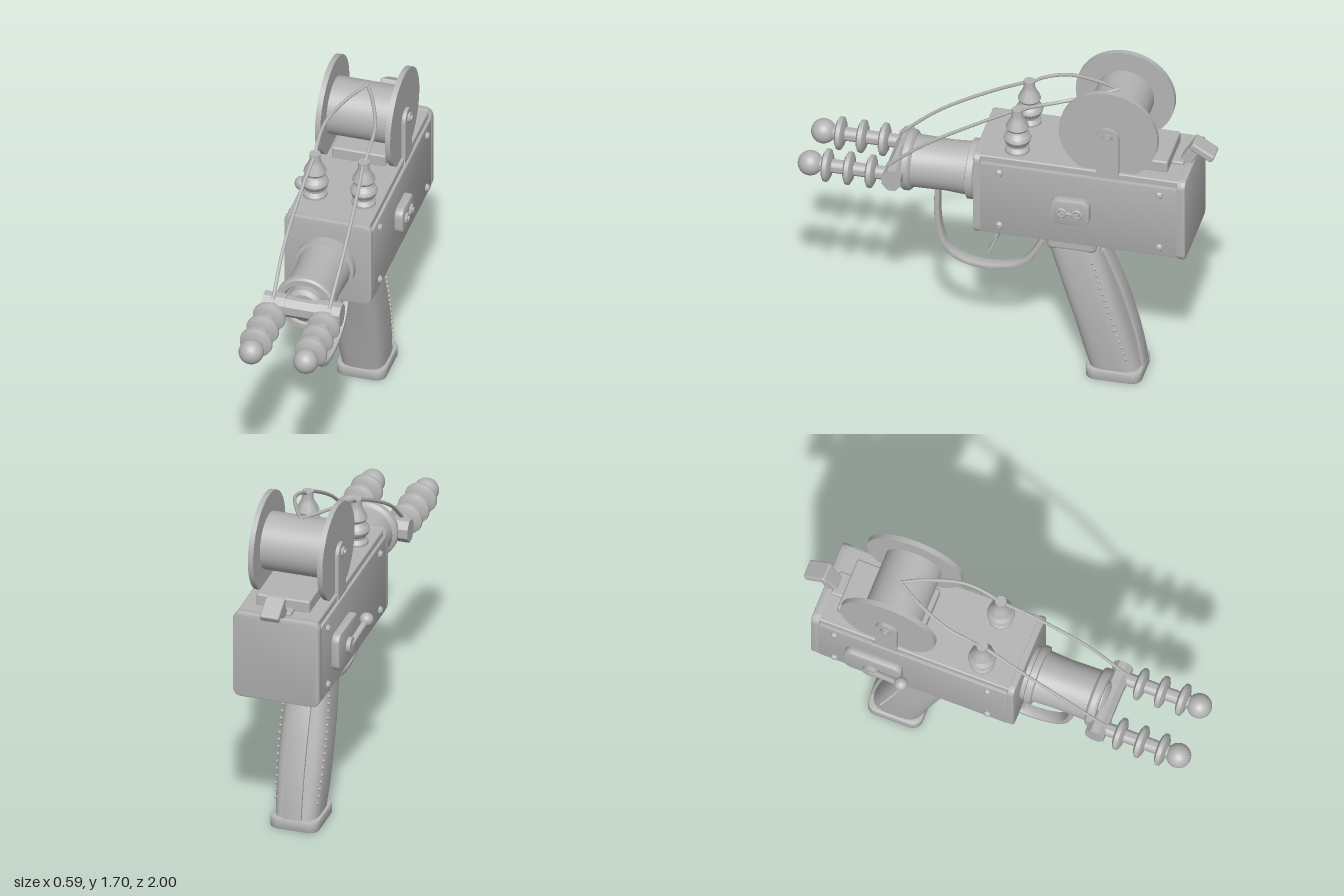
import * as THREE from 'three';
import { toCreasedNormals } from 'three/addons/utils/BufferGeometryUtils.js';
import { RoundedBoxGeometry } from 'three/addons/geometries/RoundedBoxGeometry.js';

export function createModel() {
  const model = new THREE.Group();
  const grey = new THREE.MeshStandardMaterial({ color: 0xb4b4b4 });
  grey.name = 'plain grey';
  // Everything is built around the x = 0 plane, then shifted as a whole
  const body = new THREE.Group();
  body.name = 'device';
  body.position.x = 0.025;
  model.add(body);

  function add(name, geo, x = 0, y = 0, z = 0, parent = body) {
    const mesh = new THREE.Mesh(geo, grey);
    mesh.name = name;
    mesh.position.set(x, y, z);
    parent.add(mesh);
    return mesh;
  }
  const box = (w, h, d, r = 0.008) => new RoundedBoxGeometry(w, h, d, 3, r);
  const lathe = (pts, seg = 40) =>
    toCreasedNormals(new THREE.LatheGeometry(pts.map(p => new THREE.Vector2(...p)), seg), 0.6);
  const latheZ = (pts, seg) => lathe(pts, seg).rotateX(Math.PI / 2);
  const rodX = (r, len, seg = 24) => new THREE.CylinderGeometry(r, r, len, seg).rotateZ(Math.PI / 2);
  const vec = p => new THREE.Vector3(...p);

  // Plate with a (z, y) outline, centred on x = 0
  function plateX(shape, width, bevel = 0) {
    const geo = new THREE.ExtrudeGeometry(shape, {
      depth: width - 2 * bevel, curveSegments: 10, bevelEnabled: bevel > 0,
      bevelSize: bevel, bevelThickness: bevel, bevelOffset: -bevel, bevelSegments: 2,
    });
    geo.translate(0, 0, -(width - 2 * bevel) / 2).rotateY(-Math.PI / 2);
    return toCreasedNormals(geo, 0.6);
  }
  function roundRect(w, h, r) {
    const s = new THREE.Shape(), a = w / 2 - r, b = h / 2 - r;
    s.absarc(a, b, r, 0, Math.PI / 2);
    s.absarc(-a, b, r, Math.PI / 2, Math.PI);
    s.absarc(-a, -b, r, Math.PI, Math.PI * 1.5);
    s.absarc(a, -b, r, Math.PI * 1.5, Math.PI * 2);
    return s;
  }
  // Bent flat strip following (z, y) points
  function strip(pts, thick, width) {
    const curve = new THREE.SplineCurve(pts.map(p => new THREE.Vector2(...p)));
    const a = [], b = [];
    for (let i = 0; i <= 36; i++) {
      const p = curve.getPoint(i / 36), t = curve.getTangent(i / 36);
      const n = new THREE.Vector2(-t.y, t.x).multiplyScalar(thick / 2);
      a.push(p.clone().add(n));
      b.unshift(p.clone().sub(n));
    }
    return plateX(new THREE.Shape([...a, ...b]), width, thick * 0.2);
  }

  // Housing: core, side panels and end caps
  add('housingCore', box(0.4, 0.44, 1.0), 0, 1.042, -0.38);
  for (const [name, z, d] of [['frontCap', 0.117, 0.035], ['backCap', -0.872, 0.042]]) {
    const cap = new THREE.ExtrudeGeometry(roundRect(0.43, 0.45, 0.04), {
      depth: d - 0.016, bevelSize: 0.008, bevelThickness: 0.008, bevelOffset: -0.008, bevelSegments: 2,
    }).translate(0, 0, -(d - 0.016) / 2);
    add(name, toCreasedNormals(cap, 0.6), 0, 1.04, z);
  }
  for (const s of [-1, 1]) {
    add('sidePanel', plateX(roundRect(0.96, 0.395, 0.015), 0.02, 0.004), s * 0.204, 1.032, -0.376);
    for (const z of [0.005, -0.77]) for (const y of [0.885, 1.185]) {
      const screw = lathe([[0.018, 0], [0.018, 0.008], [0.011, 0.017], [0, 0.02]], 16).rotateZ(-s * Math.PI / 2);
      add('panelScrew', screw, s * 0.213, y, z);
    }
  }

  // Socket plate on the left side
  add('socketPlate', plateX(roundRect(0.19, 0.135, 0.04), 0.045, 0.008), 0.232, 1.035, -0.343);
  for (const z of [-0.305, -0.38]) {
    add('socketRing', new THREE.TorusGeometry(0.02, 0.008, 10, 20).rotateY(Math.PI / 2), 0.258, 1.035, z);
    add('socketPin', rodX(0.011, 0.03, 16), 0.257, 1.035, z);
  }
  add('socketLink', box(0.015, 0.012, 0.06, 0.004), 0.258, 1.035, -0.343);

  // Crank lever on the right side
  add('leverPlate', plateX(roundRect(0.29, 0.19, 0.04), 0.04, 0.008), -0.233, 1.015, -0.565);
  add('leverHub', rodX(0.04, 0.03), -0.258, 1.0, -0.57);
  const leverPath = new THREE.LineCurve3(vec([-0.262, 1.0, -0.57]), vec([-0.287, 1.055, -0.41]));
  add('leverArm', new THREE.TubeGeometry(leverPath, 1, 0.015, 12));
  add('leverKnob', new THREE.SphereGeometry(0.034, 24, 16), -0.288, 1.057, -0.405);

  // Barrel with an open, stepped muzzle
  add('barrel', latheZ([
    [0.1, 0.12], [0.135, 0.12], [0.135, 0.155], [0.145, 0.16], [0.145, 0.19], [0.128, 0.195],
    [0.122, 0.3], [0.126, 0.46], [0.138, 0.465], [0.146, 0.475], [0.146, 0.5], [0.138, 0.51],
    [0.112, 0.51], [0.106, 0.5], [0.106, 0.46], [0.09, 0.46], [0.09, 0.515], [0.07, 0.53], [0, 0.53],
  ], 48), 0, 1.035, 0);

  // Fork: crossbar with two finned prongs
  const bar = new THREE.CylinderGeometry(0.055, 0.055, 0.27, 8).rotateY(Math.PI / 8).rotateZ(Math.PI / 2);
  add('crossbar', toCreasedNormals(bar.scale(1, 1, 0.86), 0.5), 0, 1.033, 0.535);
  for (const s of [-1, 1]) {
    const x = s * 0.134;
    add('crossbarEnd', toCreasedNormals(
      new THREE.CylinderGeometry(0.06, 0.06, 0.11, 8).rotateY(Math.PI / 8).rotateZ(Math.PI / 2).scale(1, 1, 0.83),
      0.5), s * 0.136, 1.033, 0.535);
    add('prongRod', latheZ([[0, 0.54], [0.033, 0.54], [0.033, 0.92], [0, 0.92]], 24), x, 1.033, 0);
    for (const z of [0.645, 0.752, 0.858])
      add('prongFin', latheZ([[0.033, -0.024], [0.058, -0.02], [0.078, -0.01], [0.08, 0],
        [0.078, 0.01], [0.058, 0.02], [0.033, 0.024]], 32), x, 1.033, z);
    add('prongBall', new THREE.SphereGeometry(0.06, 32, 20), x, 1.033, 0.94);
  }

  // Insulators and the wires running over them
  for (const s of [-1, 1]) {
    const x = s * 0.12;
    add('insulator', lathe([
      [0.058, 0], [0.058, 0.012], [0.044, 0.03], [0.046, 0.042], [0.06, 0.055], [0.066, 0.073],
      [0.06, 0.09], [0.04, 0.105], [0.036, 0.115], [0.05, 0.125], [0.055, 0.135], [0.05, 0.15],
      [0.034, 0.18], [0.027, 0.2], [0.027, 0.235], [0, 0.235],
    ], 32), x, 1.265, -0.06);
    const frontWire = [[x, 1.49, -0.05], [s * 0.135, 1.4, 0.12], [s * 0.145, 1.24, 0.38], [s * 0.138, 1.08, 0.57]];
    const backWire = [[x, 1.48, -0.06], [s * 0.125, 1.52, -0.12], [s * 0.118, 1.565, -0.25],
      [s * 0.055, 1.595, -0.42], [0, 1.607, -0.52]];
    for (const pts of [frontWire, backWire])
      add('wire', new THREE.TubeGeometry(new THREE.CatmullRomCurve3(pts.map(vec)), 30, 0.0085, 8));
  }

  // Reel: drum, discs, brackets and axle
  const reelY = 1.463, reelZ = -0.515;
  add('reelDrum', rodX(0.14, 0.33, 48), 0, reelY, reelZ);
  add('reelAxle', rodX(0.018, 0.41, 16), 0, reelY, reelZ);
  for (const s of [-1, 1]) {
    add('reelDisc', toCreasedNormals(rodX(0.24, 0.026, 64), 0.6), s * 0.172, reelY, reelZ);
    const sh = new THREE.Shape();
    sh.moveTo(-0.08, 1.225);
    sh.lineTo(0.08, 1.225);
    sh.quadraticCurveTo(0.055, 1.235, 0.055, 1.27);
    sh.lineTo(0.055, 1.455);
    sh.absarc(0, 1.455, 0.055, 0, Math.PI);
    sh.lineTo(-0.055, 1.27);
    sh.quadraticCurveTo(-0.055, 1.235, -0.08, 1.225);
    add('reelBracket', plateX(sh, 0.018), s * 0.195, 0, reelZ);
    add('axleNut', rodX(0.026, 0.018, 6), s * 0.207, reelY, reelZ);
    add('axleTip', rodX(0.014, 0.03, 16), s * 0.21, reelY, reelZ);
  }
  add('topBlock', box(0.266, 0.065, 0.42, 0.01), 0, 1.288, -0.58);

  // Tilted rear toggle
  const toggle = new THREE.Group();
  toggle.name = 'rearToggle';
  toggle.position.set(0, 1.335, -0.935);
  toggle.rotation.x = -0.54;
  body.add(toggle);
  add('toggleHead', box(0.095, 0.04, 0.125, 0.01), 0, 0, 0, toggle);
  add('toggleStalk', box(0.075, 0.13, 0.055, 0.008), 0, -0.07, 0.035, toggle);
  add('toggleBase', box(0.12, 0.03, 0.06, 0.008), 0, 1.263, -0.82);

  // Trigger group
  add('triggerHousing', box(0.13, 0.045, 0.29), 0, 0.802, -0.022);
  add('trigger', strip([[0.05, 0.79], [0.058, 0.72], [0.075, 0.645], [0.107, 0.57]], 0.018, 0.055));
  add('triggerGuard', strip([[0.352, 0.92], [0.355, 0.77], [0.34, 0.65], [0.3, 0.56], [0.22, 0.51], [0.11, 0.495],
    [-0.02, 0.52], [-0.1, 0.585], [-0.17, 0.715]], 0.025, 0.055));

  // Grip: rounded cross-sections from [y, z centre, half width, half depth]
  const rows = [[0.712, -0.317, 0.103, 0.127], [0.6, -0.353, 0.113, 0.126], [0.45, -0.4, 0.12, 0.126],
    [0.3, -0.447, 0.121, 0.125], [0.15, -0.487, 0.115, 0.125], [0.05, -0.515, 0.108, 0.125]];
  const N = 40, pos = [], idx = [];
  const soft = v => Math.sign(v) * Math.abs(v) ** 0.6;
  for (const [y, z, a, b] of rows)
    for (let i = 0; i < N; i++) {
      const t = i / N * Math.PI * 2;
      pos.push(a * soft(Math.cos(t)), y, z + b * soft(Math.sin(t)));
    }
  for (let r = 0; r < rows.length - 1; r++)
    for (let i = 0; i < N; i++) {
      const a = r * N + i, b = r * N + (i + 1) % N;
      idx.push(a, b, a + N, b, b + N, a + N);
    }
  for (let i = 1; i < N - 1; i++) idx.push(0, i + 1, i);
  const grip = new THREE.BufferGeometry();
  grip.setAttribute('position', new THREE.Float32BufferAttribute(pos, 3));
  grip.setIndex(idx);
  add('grip', toCreasedNormals(grip, 0.7));
  add('gripNeck', box(0.2, 0.14, 0.243, 0.03), 0, 0.765, -0.311);
  add('gripBase', toCreasedNormals(new THREE.ExtrudeGeometry(roundRect(0.243, 0.272, 0.05), {
    depth: 0.041, bevelSize: 0.007, bevelThickness: 0.007, bevelOffset: -0.007, bevelSegments: 2,
  }).rotateX(-Math.PI / 2), 0.6), 0, 0.007, -0.517);
  add('backStrap', strip([[-0.455, 0.7], [-0.535, 0.51], [-0.6, 0.3], [-0.63, 0.17], [-0.648, 0.06]], 0.016, 0.09));

  // Studs along both sides of the grip
  for (const s of [-1, 1])
    for (let i = 0; i < 17; i++) {
      const t = i / 16, y = 0.66 - 0.53 * t;
      const bulge = 0.101 + 0.014 * Math.sin(Math.PI * (0.15 + 0.8 * t));
      add('gripStud', new THREE.SphereGeometry(0.008, 8, 6), s * bulge, y, -0.42 - 0.16 * t);
    }
  return model;
}
